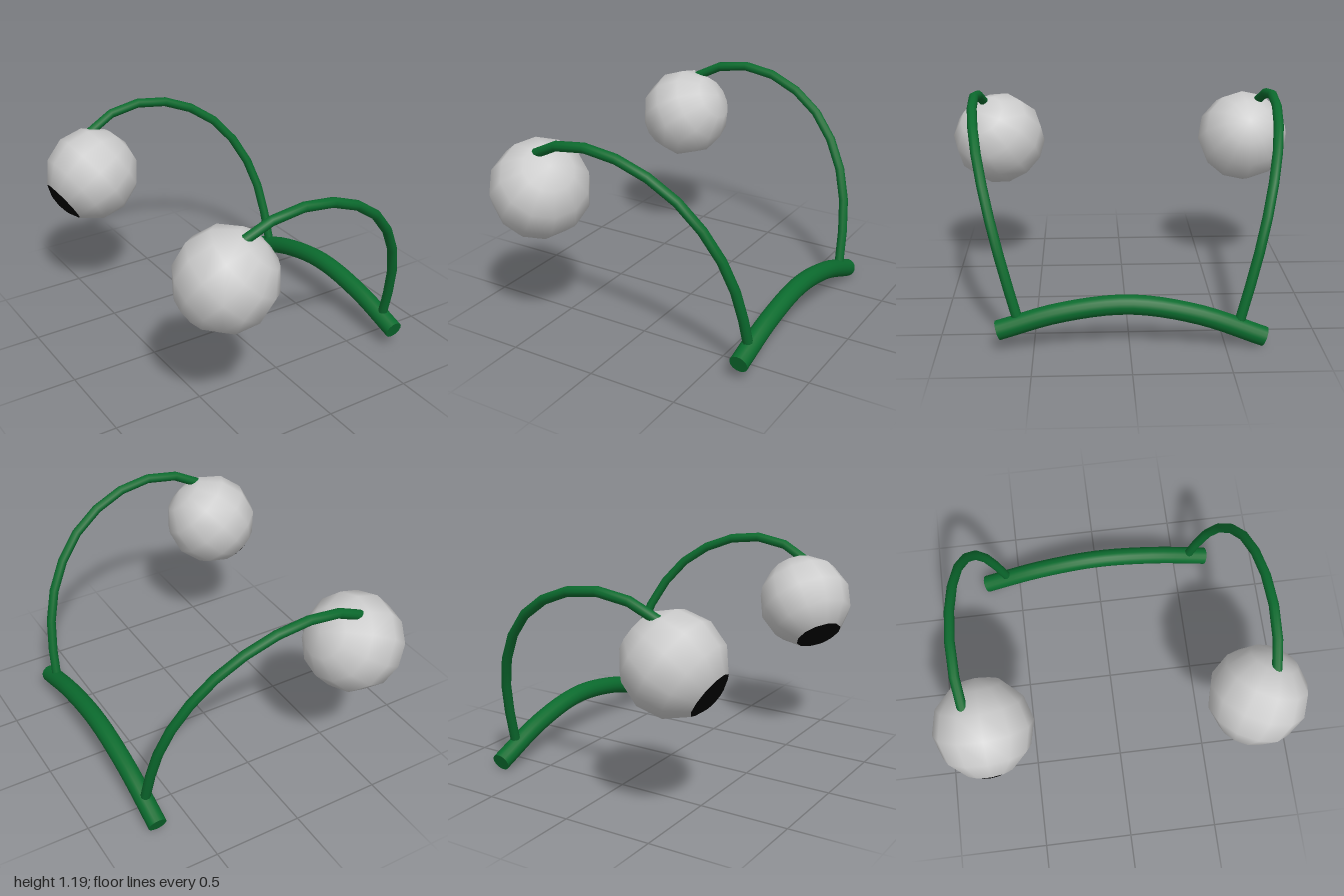
import * as THREE from 'three';

const green = new THREE.MeshStandardMaterial({ color: 0x0b6b2e });
const grey = new THREE.MeshStandardMaterial({ color: 0xcccccc });
const black = new THREE.MeshStandardMaterial({ color: 0x000000 });

// Round rod along a smooth curve, closed with a disc at each end
function rod(name, points, segments, radius, sides) {
  const group = new THREE.Group();
  group.name = name;
  const curve = new THREE.CatmullRomCurve3(points);
  const tube = new THREE.Mesh(new THREE.TubeGeometry(curve, segments, radius, sides), green);
  tube.name = name + 'Tube';
  group.add(tube);
  for (const t of [0, 1]) {
    const cap = new THREE.Mesh(new THREE.CircleGeometry(radius, sides), green);
    cap.name = name + 'Cap';
    cap.position.copy(curve.getPointAt(t));
    const out = curve.getTangentAt(t).multiplyScalar(t ? 1 : -1);
    cap.quaternion.setFromUnitVectors(new THREE.Vector3(0, 0, 1), out);
    group.add(cap);
  }
  return group;
}

// Low-sided ball whose pole cap is a black pupil facing the gaze direction
function eye(name, position, gaze) {
  const r = 0.272, capAngle = Math.PI / 6;
  const group = new THREE.Group();
  group.name = name;
  const ball = new THREE.Mesh(
    new THREE.SphereGeometry(r, 12, 5, 0, Math.PI * 2, capAngle, Math.PI - capAngle), grey);
  ball.name = 'eyeball';
  const pupil = new THREE.Mesh(
    new THREE.SphereGeometry(r, 12, 1, 0, Math.PI * 2, 0, capAngle), black);
  pupil.name = 'pupil';
  group.add(ball, pupil);
  group.position.copy(position);
  group.quaternion.setFromUnitVectors(new THREE.Vector3(0, 1, 0), gaze.normalize());
  return group;
}

export function createModel() {
  const model = new THREE.Group();
  model.name = 'eyeHeadband';

  // Curved headband, one end a little lower
  const bandPath = [[0.11, 0.685], [0.204, 0.36], [0.243, 0], [0.18, -0.36], [0.05, -0.705]];
  model.add(rod('headband', bandPath.map(([y, z]) => new THREE.Vector3(0.69, y, z)), 20, 0.052, 16));

  // Arched stalks, each lying in a plane that leans outwards
  const stalkPath = [[0.69, 0.15], [0.68, 0.33], [0.64, 0.57], [0.55, 0.78], [0.41, 0.96],
    [0.23, 1.085], [0.03, 1.155], [-0.18, 1.165], [-0.36, 1.115], [-0.45, 1.06]];
  for (const side of [1, -1]) {
    const points = stalkPath.map(([x, y]) =>
      new THREE.Vector3(x, y, side * (0.58 + 0.26 * (y - 0.17))));
    model.add(rod(side > 0 ? 'frontStalk' : 'backStalk', points, 10, 0.027, 10));
  }

  // Eyes, looking in slightly different directions
  model.add(eye('frontEye', new THREE.Vector3(-0.48, 0.838, 0.735), new THREE.Vector3(-0.58, -0.72, -0.38)));
  model.add(eye('backEye', new THREE.Vector3(-0.478, 0.838, -0.735), new THREE.Vector3(-0.84, -0.54, 0.03)));
  return model;
}
